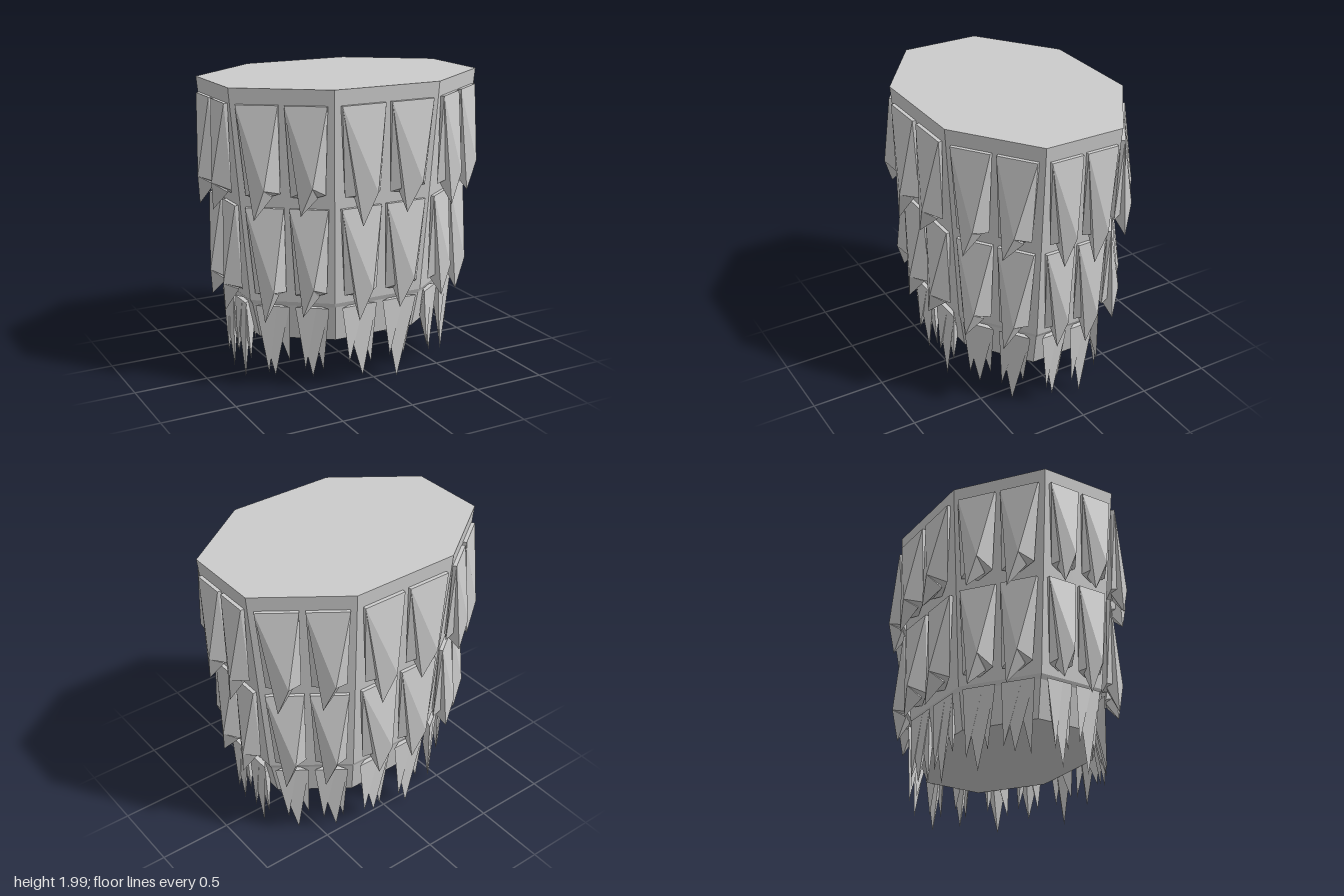
import * as THREE from 'three';
import { ConvexGeometry } from 'three/addons/geometries/ConvexGeometry.js';

const RX = 0.98, RZ = 0.704; // corner radii of the stretched octagon

export function createModel() {
  const model = new THREE.Group();
  model.name = 'spikyStump';
  const mat = new THREE.MeshStandardMaterial({ color: 0xcccccc, flatShading: true });

  let seed = 7;
  const jitter = (a) => {
    seed = (seed * 16807) % 2147483647;
    return (seed / 2147483647 - 0.5) * 2 * a;
  };

  // Tapered eight-sided core with a small lip near the foot
  const profile = [[0, 0.32], [0.77, 0.32], [0.83, 0.56], [0.85, 0.59], [1, 1.99], [0, 1.99]];
  const coreGeo = new THREE.LatheGeometry(profile.map(([r, y]) => new THREE.Vector2(r, y)), 8, Math.PI / 8);
  coreGeo.scale(RX, 1, RZ);
  const core = new THREE.Mesh(coreGeo, mat);
  core.name = 'core';
  model.add(core);

  // Point on side i: u runs -1..1 across the side, out is the distance from the wall
  const corner = (t) => new THREE.Vector3(Math.sin(t) * RX, 0, Math.cos(t) * RZ);
  function wallPoint(i, u, y, out) {
    const t = i * Math.PI / 4;
    const a = corner(t - Math.PI / 8), b = corner(t + Math.PI / 8);
    const normal = new THREE.Vector3(a.z - b.z, 0, b.x - a.x).normalize();
    normal.set(-(b.z - a.z), 0, b.x - a.x).normalize();
    const scale = 0.85 + 0.15 * (y - 0.59) / 1.4;
    const p = a.lerp(b, (u + 1) / 2).multiplyScalar(scale).addScaledVector(normal, out);
    p.y = y;
    return p;
  }

  function addHull(name, group, i, pts) {
    const mesh = new THREE.Mesh(new ConvexGeometry(pts.map((p) => wallPoint(i, ...p))), mat);
    mesh.name = name;
    group.add(mesh);
  }

  // Bark scale: a ridged slab plus a sharp tip on its lower left
  function addScale(group, i, c, top) {
    const dy = jitter(0.025), du = jitter(0.03);
    const ridge = [c + 0.12 + du, top - 0.52 + dy, 0.135];
    addHull('barkSlab', group, i, [
      [c - 0.41, top, 0], [c + 0.41, top, 0],
      [c - 0.41, top, 0.025], [c + 0.41, top, 0.025],
      [c - 0.37, top - 0.58, 0.03], [c + 0.36, top - 0.56, 0.03],
      [c, top - 0.6, 0], ridge,
    ]);
    addHull('barkTip', group, i, [
      [c - 0.41, top, 0.025], [c - 0.18, top - 0.59, 0.03], [c + 0.2, top - 0.58, 0.04], ridge,
      [c - 0.15 + du, top - 0.72 + dy * 1.6, 0.12],
    ]);
  }

  // Fringe spike: a long blade flanked by two shorter ones
  function addFringe(group, i, c, first) {
    const blade = (name, left, right, tip, y, out) => addHull(name, group, i, [
      [c + left, 0.56, 0.02], [c + right, 0.56, 0.02],
      [c + (left + right) / 2, 0.56, -0.02],
      [c + (left + right) / 2, 0.36, out * 0.5 - 0.05],
      [c + tip, y, out],
    ]);
    blade('longBlade', -0.4, 0.4, 0.03 + jitter(0.08), first ? 0 : 0.06 + jitter(0.05), 0.05);
    blade('leftBlade', -0.4, 0.1, -0.25 + jitter(0.08), 0.15 + jitter(0.06), 0.055);
    blade('rightBlade', -0.1, 0.4, 0.28 + jitter(0.08), 0.13 + jitter(0.06), 0.02);
  }

  const upper = new THREE.Group(), lower = new THREE.Group(), fringe = new THREE.Group();
  upper.name = 'upperBark';
  lower.name = 'lowerBark';
  fringe.name = 'rootFringe';
  for (let i = 0; i < 8; i++) {
    for (const c of [-0.47, 0.47]) {
      addScale(upper, i, c, 1.89);
      addScale(lower, i, c, 1.23);
      addFringe(fringe, i, c, i % 2 === 0 && c > 0);
    }
  }
  model.add(upper, lower, fringe);
  return model;
}
